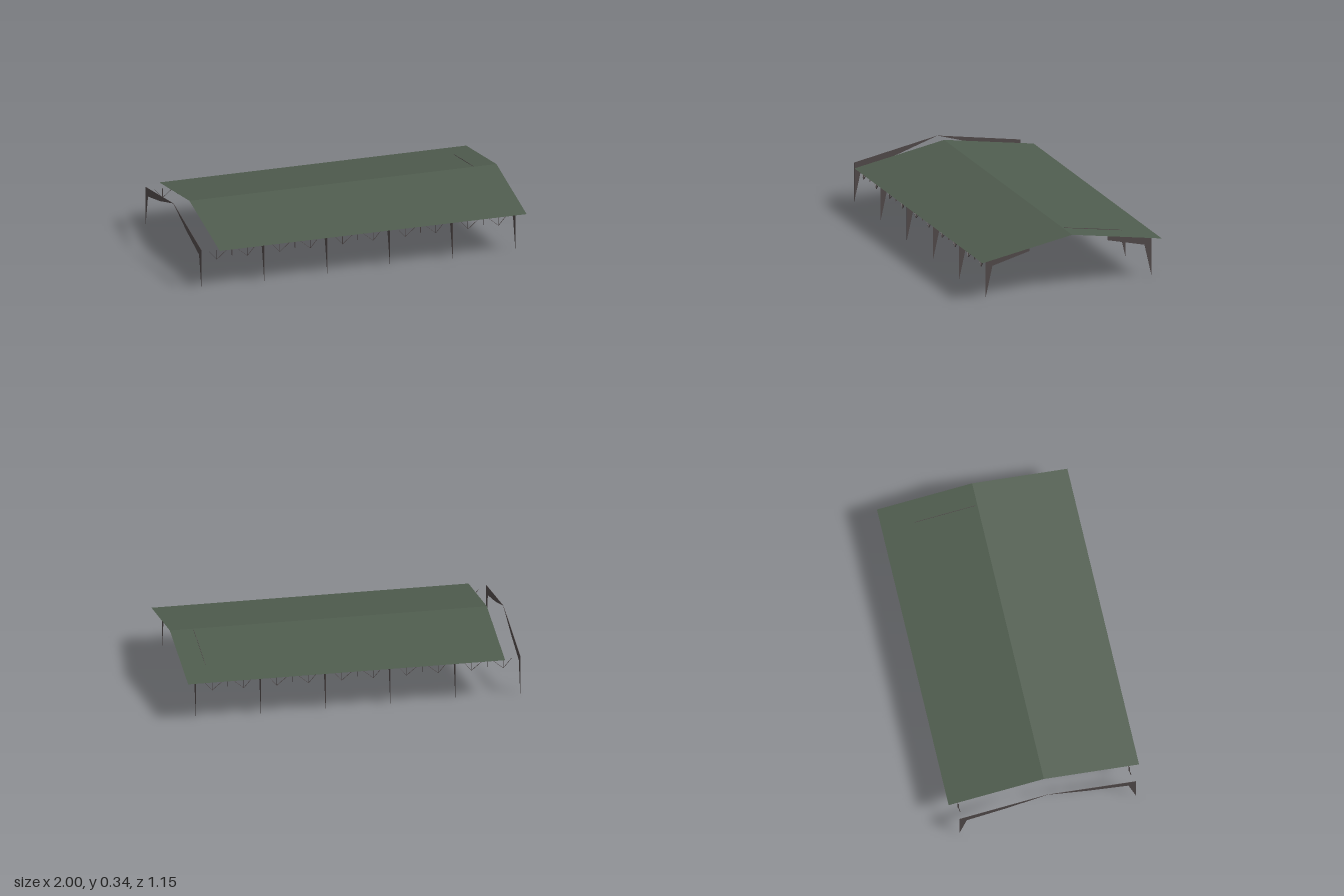
import * as THREE from 'three';

const roofGreen = new THREE.MeshStandardMaterial({ color: 0x4f5c4e, side: THREE.DoubleSide, flatShading: true });
roofGreen.name = 'roof green';
const steelGrey = new THREE.MeshStandardMaterial({ color: 0x524b4b, side: THREE.DoubleSide, flatShading: true });
steelGrey.name = 'steel grey';

// Thin plate in the z-y plane, centred on x
function plate(name, points, x, side, thickness = 0.002) {
  const shape = new THREE.Shape(points.map(([z, y]) => new THREE.Vector2(-z * side, y)));
  const geo = new THREE.ExtrudeGeometry(shape, { depth: thickness, bevelEnabled: false });
  geo.translate(0, 0, -thickness / 2);
  geo.rotateY(Math.PI / 2); // shape x becomes -z
  const mesh = new THREE.Mesh(geo, steelGrey);
  mesh.name = name;
  mesh.position.x = x;
  return mesh;
}

// Flat bar between two points in the x-y plane, its width lying along z
function bar(name, [x0, y0], [x1, y1], z, width = 0.008) {
  const dx = x1 - x0, dy = y1 - y0;
  const mesh = new THREE.Mesh(new THREE.BoxGeometry(Math.hypot(dx, dy), 0.0015, width), steelGrey);
  mesh.name = name;
  mesh.position.set((x0 + x1) / 2, (y0 + y1) / 2, z);
  mesh.rotation.z = Math.atan2(dy, dx);
  return mesh;
}

export function createModel() {
  const model = new THREE.Group();
  model.name = 'shed';

  // Two roof slopes as single sheets
  for (const side of [1, -1]) {
    const run = 0.575, rise = 0.1;
    const geo = new THREE.PlaneGeometry(1.9, Math.hypot(run, rise));
    geo.rotateX(-Math.PI / 2);
    const sheet = new THREE.Mesh(geo, roofGreen);
    sheet.name = side > 0 ? 'frontRoof' : 'backRoof';
    sheet.position.set(0.05, 0.291, side * run / 2);
    sheet.rotation.x = side * Math.atan2(rise, run);
    model.add(sheet);
  }

  // Portal frames: tapered column with knee, and the inner rafter where present
  const knee = [[0.533, 0], [0.533, 0.241], [0.25, 0.292], [0.25, 0.257], [0.488, 0.197]];
  const rafter = [[0.25, 0.292], [0, 0.337], [0.25, 0.257]];
  const frameX = [-0.999, -0.61, -0.22, 0.168, 0.556, 0.945];
  const rafterBays = { 1: [0, 1, 2], '-1': [0, 2, 4] };
  frameX.forEach((x, i) => {
    const frame = new THREE.Group();
    frame.name = 'portalFrame';
    for (const side of [1, -1]) {
      frame.add(plate('column', knee, x, side));
      if (rafterBays[side].includes(i)) frame.add(plate('rafter', rafter, x, side));
    }
    model.add(frame);
  });

  // Eave braces in every bay: zigzag bars and three short hangers
  for (let i = 0; i < frameX.length - 1; i++) {
    const mid = (frameX[i] + frameX[i + 1]) / 2;
    for (const side of [1, -1]) {
      const brace = new THREE.Group();
      brace.name = 'eaveBrace';
      const z = side * 0.516;
      for (const s of [1, -1]) {
        const foot = [mid + s * 0.095, 0.166];
        brace.add(bar('hanger', foot, [mid + s * 0.095, 0.225], z));
        brace.add(bar('diagonal', foot, [mid + s * 0.145, 0.225], z, 0.004));
        brace.add(bar('diagonal', foot, [mid + s * 0.01, 0.238], z, 0.004));
      }
      brace.add(bar('hanger', [mid, 0.18], [mid, 0.24], z));
      model.add(brace);
    }
  }

  // Slim rib standing just proud of the back slope
  model.add(plate('roofRib', [[0.01, 0.335], [0.01, 0.341], [0.2, 0.31], [0.38, 0.277], [0.38, 0.272]], 0.86, -1));
  return model;
}
